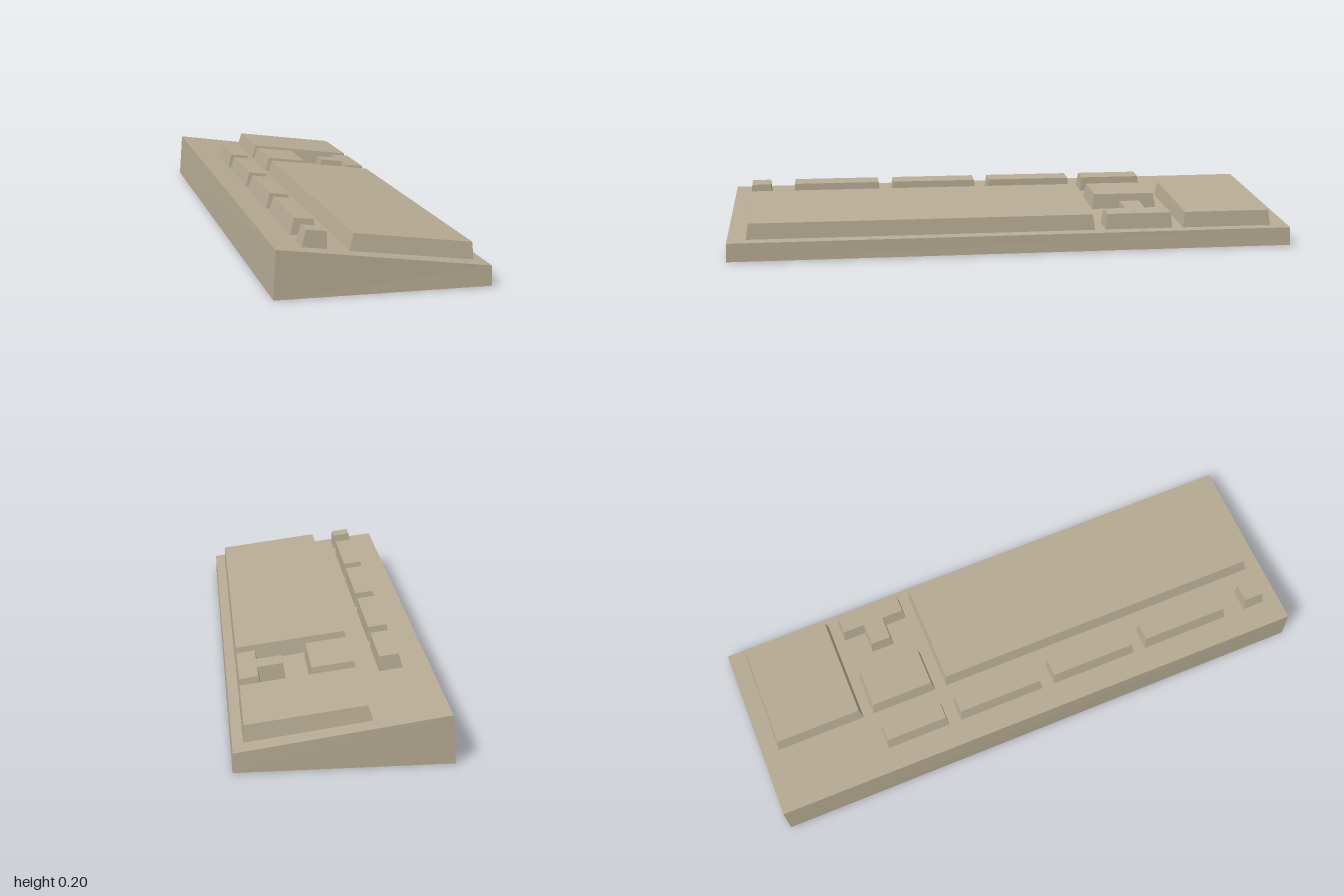
import * as THREE from 'three';

const beige = new THREE.MeshStandardMaterial({ color: 0xb5aa92 });
beige.name = 'beige plastic';

// Sloping deck of the case, slightly higher towards the rear left corner
const deck = (x, z) => 0.111 - 0.131 * x + 0.0055 * (1 - z) * (0.34 - x);
// Shared plane of all key tops
const keyPlane = (x) => 0.1657 - 0.131 * x;

// Flat-faced solid between two matching outlines of [x, y, z] points,
// listed counter-clockwise as seen from above
function loft(name, bottom, top, closed = false) {
  const pos = [];
  const n = bottom.length;
  const tri = (a, b, c) => pos.push(...a, ...b, ...c);
  for (let i = 0; i < n; i++) {
    const j = (i + 1) % n;
    tri(bottom[i], bottom[j], top[j]);
    tri(bottom[i], top[j], top[i]);
  }
  const flat = top.map(([x, , z]) => new THREE.Vector2(x, -z));
  for (const [a, b, c] of THREE.ShapeUtils.triangulateShape(flat, [])) {
    tri(top[a], top[b], top[c]);
    if (closed) tri(bottom[c], bottom[b], bottom[a]);
  }
  const geo = new THREE.BufferGeometry();
  geo.setAttribute('position', new THREE.Float32BufferAttribute(pos, 3));
  geo.computeVertexNormals();
  const mesh = new THREE.Mesh(geo, beige);
  mesh.name = name;
  return mesh;
}

// Key block rising from the deck to the key plane
function keyBlock(name, base, top) {
  return loft(
    name,
    base.map(([x, z]) => [x, deck(x, z) - 0.002, z]),
    top.map(([x, z]) => [x, keyPlane(x), z])
  );
}

const rect = (x0, x1, z0, z1) => [[x0, z1], [x1, z1], [x1, z0], [x0, z0]];

// Rectangular key block with a sloped rear side and tapered ends
function rectKeys(name, x0, x1, z0, z1, right = 0.003, end = 0.009) {
  return keyBlock(name, rect(x0, x1, z0, z1),
    rect(x0 + 0.015, x1 - right, z0 + end, z1 - end));
}

export function createModel() {
  const model = new THREE.Group();
  model.name = 'keyboard';

  // Wedge-shaped case
  model.add(loft('case',
    [[-0.345, 0, 0.99], [0.343, 0.002, 1], [0.343, 0.002, -1], [-0.345, 0, -0.995]],
    [[-0.337, 0.155, 0.987], [0.343, 0.066, 0.997], [0.341, 0.066, -0.998], [-0.333, 0.162, -0.993]],
    true));

  // Row of function keys along the high edge
  const row = new THREE.Group();
  row.name = 'functionKeyRow';
  [[0.85, 0.93], [0.445, 0.77], [0.08, 0.4], [-0.285, 0.035], [-0.565, -0.33]].forEach(([z0, z1], i) =>
    row.add(rectKeys('functionKeys' + (i + 1), -0.245, -0.165, z0, z1, 0, 0.006)));
  model.add(row);

  // Large key areas
  model.add(rectKeys('mainKeys', -0.095, 0.307, -0.287, 0.933));
  model.add(rectKeys('numberPad', -0.095, 0.307, -0.935, -0.608));
  model.add(rectKeys('navigationKeys', -0.095, 0.065, -0.57, -0.328));

  // T-shaped arrow keys
  model.add(keyBlock('arrowKeys',
    [[0.228, -0.325], [0.306, -0.325], [0.306, -0.57], [0.228, -0.57],
      [0.228, -0.49], [0.143, -0.49], [0.143, -0.405], [0.228, -0.405]],
    [[0.239, -0.332], [0.303, -0.332], [0.303, -0.563], [0.239, -0.563],
      [0.239, -0.484], [0.153, -0.484], [0.153, -0.411], [0.239, -0.411]]));

  return model;
}
